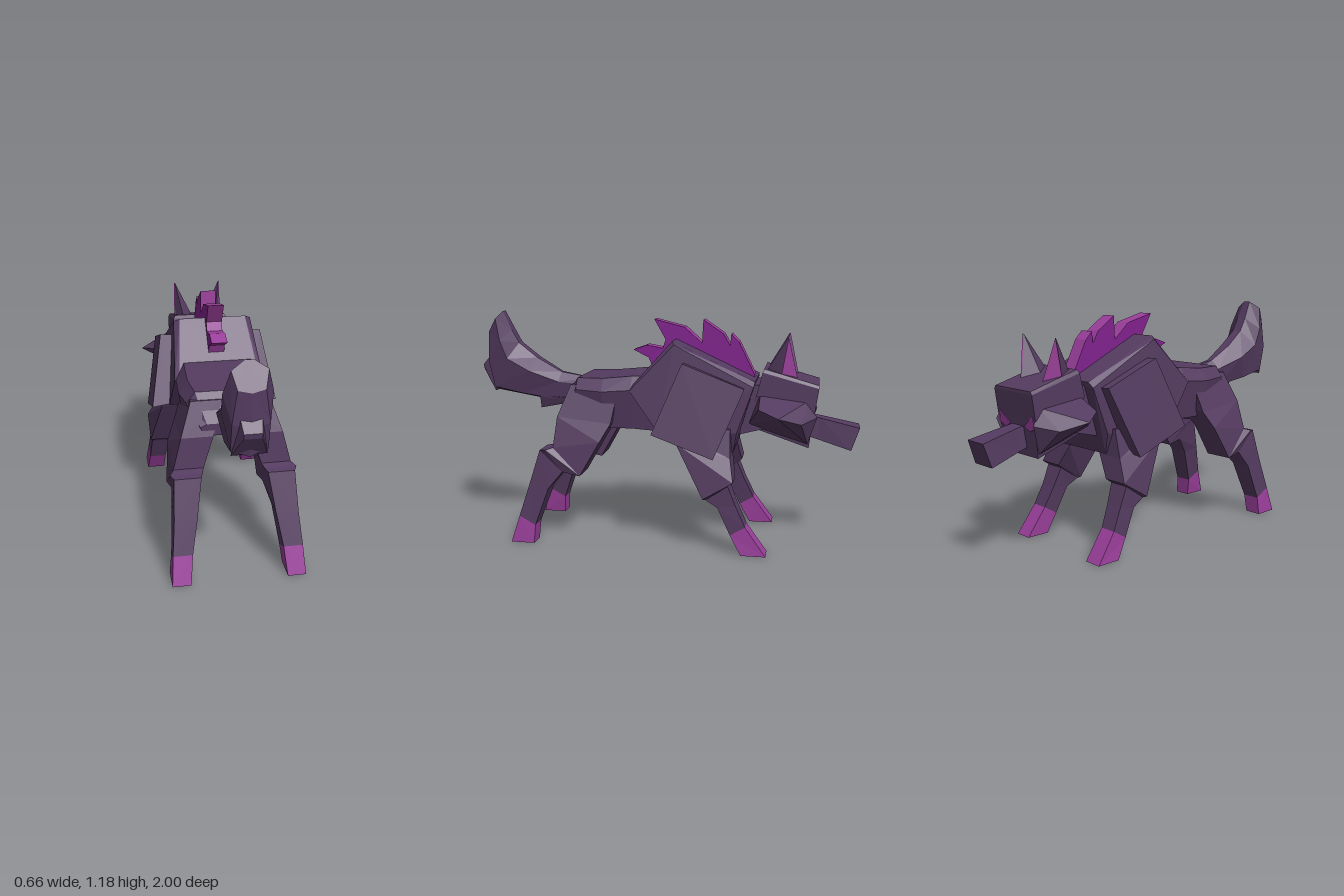
import * as THREE from 'three';
import { ConvexGeometry } from 'three/addons/geometries/ConvexGeometry.js';

const mat = (name, color) => {
  const m = new THREE.MeshStandardMaterial({ color });
  m.name = name;
  return m;
};

// Closed solid through rings of [x, y, z] points, faceted, faces turned outward
function loft(rings) {
  const n = rings[0].length, last = rings.length - 1, tris = [];
  for (let i = 0; i < last; i++) {
    for (let j = 0; j < n; j++) {
      const k = (j + 1) % n, a = rings[i][j], b = rings[i][k], c = rings[i + 1][k], d = rings[i + 1][j];
      tris.push([a, b, c], [a, c, d]);
    }
  }
  for (let j = 1; j < n - 1; j++) {
    tris.push([rings[0][0], rings[0][j + 1], rings[0][j]]);
    tris.push([rings[last][0], rings[last][j], rings[last][j + 1]]);
  }
  const v = (p) => new THREE.Vector3(...p);
  const volume = tris.reduce((s, t) => s + v(t[0]).dot(v(t[1]).cross(v(t[2]))), 0);
  if (volume < 0) tris.forEach((t) => t.reverse());
  const g = new THREE.BufferGeometry();
  g.setAttribute('position', new THREE.Float32BufferAttribute(tris.flat(2), 3));
  g.computeVertexNormals();
  return g;
}

// Limb section: rear z, y; front z, y; inner x, outer x
const limb = (s, sections) => loft(sections.map(([zb, yb, zf, yf, xi, xo]) =>
  [[s * xi, yb, zb], [s * xo, yb, zb], [s * xo, yf, zf], [s * xi, yf, zf]]));

// Convex solid from [half width, y, z] points mirrored in x
const hull = (pts) => new ConvexGeometry(pts.flatMap(([x, y, z]) =>
  [new THREE.Vector3(x, y, z), new THREE.Vector3(-x, y, z)]));

// Thin plate: an outline and its shifted copy
const plate = (pts, d) => loft([pts, pts.map((p) => p.map((c, i) => c + d[i]))]);

export function createModel() {
  const group = new THREE.Group();
  const fur = mat('dark purple fur', 0x543b60);
  const magenta = mat('magenta', 0x9a3f9b);
  const violet = mat('deep violet', 0x82228f);
  const add = (name, geometry, material = fur) => {
    const m = new THREE.Mesh(geometry, material);
    m.name = name;
    group.add(m);
    return m;
  };

  // Rear body: z, top, bottom, half width
  add('rearBody', loft([
    [-0.1, 0.87, 0.58, 0.2], [0.15, 0.87, 0.6, 0.22], [0.3, 0.855, 0.6, 0.225],
    [0.44, 0.853, 0.63, 0.205], [0.52, 0.72, 0.66, 0.15],
  ].map(([z, t, b, w]) => {
    const m = t - (t - b) * 0.25;
    return [[-w * 0.8, t, z], [w * 0.8, t, z], [w, m, z], [w * 0.85, b, z], [-w * 0.85, b, z], [-w, m, z]];
  })));

  // Heavy chest and shoulders, neck
  add('chest', hull([
    [0.17, 1.05, -0.056], [0.2, 1.035, -0.07], [0.2, 0.83, 0.14], [0.225, 0.8, 0.155], [0.24, 0.6, 0.01],
    [0.23, 0.57, -0.1], [0.17, 0.49, -0.37], [0.21, 0.6, -0.39], [0.2, 0.83, -0.47], [0.17, 0.855, -0.475],
  ]));
  add('neck', hull([[0.14, 0.84, -0.4], [0.14, 0.57, -0.36], [0.13, 0.83, -0.56], [0.13, 0.62, -0.56]]));

  // Tail: top z, y; bottom z, y; half width
  add('tail', loft([
    [0.4, 0.83, 0.47, 0.7, 0.02], [0.57, 0.86, 0.6, 0.7, 0.06], [0.7, 0.935, 0.78, 0.73, 0.11],
    [0.8, 1.013, 0.936, 0.756, 0.11], [0.84, 1.085, 0.965, 0.9, 0.11], [0.887, 1.18, 0.962, 1.06, 0.08],
  ].map(([zt, yt, zb, yb, w]) => {
    const at = (x, f) => [x, yt + (yb - yt) * f, zt + (zb - zt) * f];
    return [at(-w * 0.25, 0), at(w * 0.25, 0), at(w, 0.3), at(w * 0.75, 0.9), at(0, 1), at(-w * 0.75, 0.9), at(-w, 0.3)];
  })));
  add('tailTuft', hull([[0.07, 0.9, 0.9], [0.08, 0.76, 0.92], [0.04, 0.895, 1], [0.04, 0.87, 0.995], [0.05, 0.96, 0.94]]));
  add('lowerTailTuft', hull([[0.04, 0.72, 0.5], [0.06, 0.74, 0.68], [0.03, 0.665, 0.684], [0.03, 0.69, 0.56]]));

  // Head
  add('headTop', hull([
    [0.14, 0.917, -0.517], [0.15, 0.9, -0.51], [0.15, 0.78, -0.48],
    [0.14, 0.84, -0.79], [0.15, 0.825, -0.79], [0.15, 0.7, -0.772],
  ]));
  add('jaw', hull([
    [0.14, 0.79, -0.48], [0.12, 0.627, -0.42], [0.14, 0.7, -0.77], [0.13, 0.52, -0.747],
  ]));
  add('snout', loft([
    [-0.74, 0.67, -0.74, 0.565, 0.05], [-0.8, 0.66, -0.79, 0.55, 0.05], [-1, 0.617, -0.96, 0.5, 0.07],
  ].map(([zt, yt, zb, yb, w]) => [[-w * 0.9, yt, zt], [w * 0.9, yt, zt], [w, yb, zb], [-w, yb, zb]])));

  // Spiky mane, magenta along its edges
  const spikes = [
    [-0.47, 0.84], [-0.46, 0.88], [-0.38, 1.04], [-0.34, 1.08], [-0.335, 1.02], [-0.3, 1.08],
    [-0.196, 1.15], [-0.19, 1.03], [-0.1, 1.11], [0.06, 1.15], [0, 1.045], [0.016, 1.0],
    [0.1, 1.015], [0.17, 0.99], [0.09, 0.95], [0.06, 0.88], [0.15, 0.84], [0.0, 0.8],
  ];
  const maneGeo = new THREE.ExtrudeGeometry(
    new THREE.Shape(spikes.map(([z, y]) => new THREE.Vector2(-z, y))), { depth: 0.08, bevelEnabled: false });
  maneGeo.translate(0, 0, -0.04).rotateY(Math.PI / 2);
  add('mane', maneGeo, [violet, magenta]);

  for (const s of [1, -1]) {
    const side = s > 0 ? 'left' : 'right';

    // Flared cheek
    add(side + 'Cheek', new ConvexGeometry([
      [0.33, 0.7, -0.6], [0.26, 0.73, -0.5], [0.15, 0.68, -0.785], [0.13, 0.54, -0.74], [0.12, 0.63, -0.44],
      [0.13, 0.76, -0.74], [0.13, 0.79, -0.5], [0.25, 0.66, -0.71],
    ].map(([x, y, z]) => new THREE.Vector3(s * x, y, z))));

    // Slanted eye on the face
    add(side + 'Eye', plate([[0.055, 0.665], [0.13, 0.725], [0.14, 0.665], [0.1, 0.645]].map(([x, y]) =>
      [s * x, y, -0.785 + (0.84 - y) * 0.134]), [0, 0, -0.008]), magenta);

    // Ear with a magenta opening
    const tip = [s * 0.125, 1.075, -0.63];
    const outer = [s * 0.13, 0.86, -0.595], front = [s * 0.08, 0.86, -0.68];
    add(side + 'Ear', new ConvexGeometry([tip, outer, front, [s * 0.03, 0.88, -0.6], [s * 0.09, 0.9, -0.525]]
      .map((p) => new THREE.Vector3(...p))));
    add(side + 'EarInner', plate([tip, outer, front], [s * 0.005, 0, -0.004]), magenta);

    // Tilted shoulder plate
    add(side + 'ShoulderPlate', loft([
      [[0.19, 0.945, -0.12], [0.19, 0.825, -0.42], [0.22, 0.5, -0.28], [0.22, 0.61, 0.01]],
      [[0.265, 0.95, -0.12], [0.265, 0.83, -0.43], [0.33, 0.485, -0.286], [0.33, 0.6, 0.025]],
    ].map((r) => r.map(([x, y, z]) => [s * x, y, z]))));

    // Hind leg
    add(side + 'HindLeg', limb(s, [
      [0.47, 0.82, 0.22, 0.8, 0.04, 0.19], [0.53, 0.66, 0.25, 0.63, 0.09, 0.245],
      [0.545, 0.505, 0.3, 0.54, 0.14, 0.285], [0.58, 0.495, 0.4, 0.365, 0.15, 0.305],
      [0.614, 0.49, 0.496, 0.38, 0.16, 0.29], [0.674, 0.3, 0.57, 0.29, 0.19, 0.3],
      [0.725, 0.14, 0.64, 0.095, 0.22, 0.315],
    ]));
    add(side + 'HindPaw', limb(s, [[0.725, 0.14, 0.64, 0.095, 0.22, 0.315], [0.77, 0, 0.646, 0, 0.235, 0.325]]), magenta);

    // Front leg
    add(side + 'FrontLeg', limb(s, [
      [-0.06, 0.62, -0.36, 0.62, 0.1, 0.23], [-0.09, 0.55, -0.365, 0.48, 0.12, 0.27],
      [-0.236, 0.28, -0.386, 0.37, 0.19, 0.325], [-0.25, 0.275, -0.36, 0.35, 0.2, 0.31],
      [-0.31, 0.236, -0.4, 0.25, 0.215, 0.31], [-0.375, 0.1, -0.45, 0.145, 0.23, 0.32],
    ]));
    add(side + 'FrontPaw', limb(s, [[-0.375, 0.1, -0.45, 0.145, 0.23, 0.32], [-0.43, 0, -0.555, 0, 0.235, 0.33]]), magenta);
  }
  return group;
}
